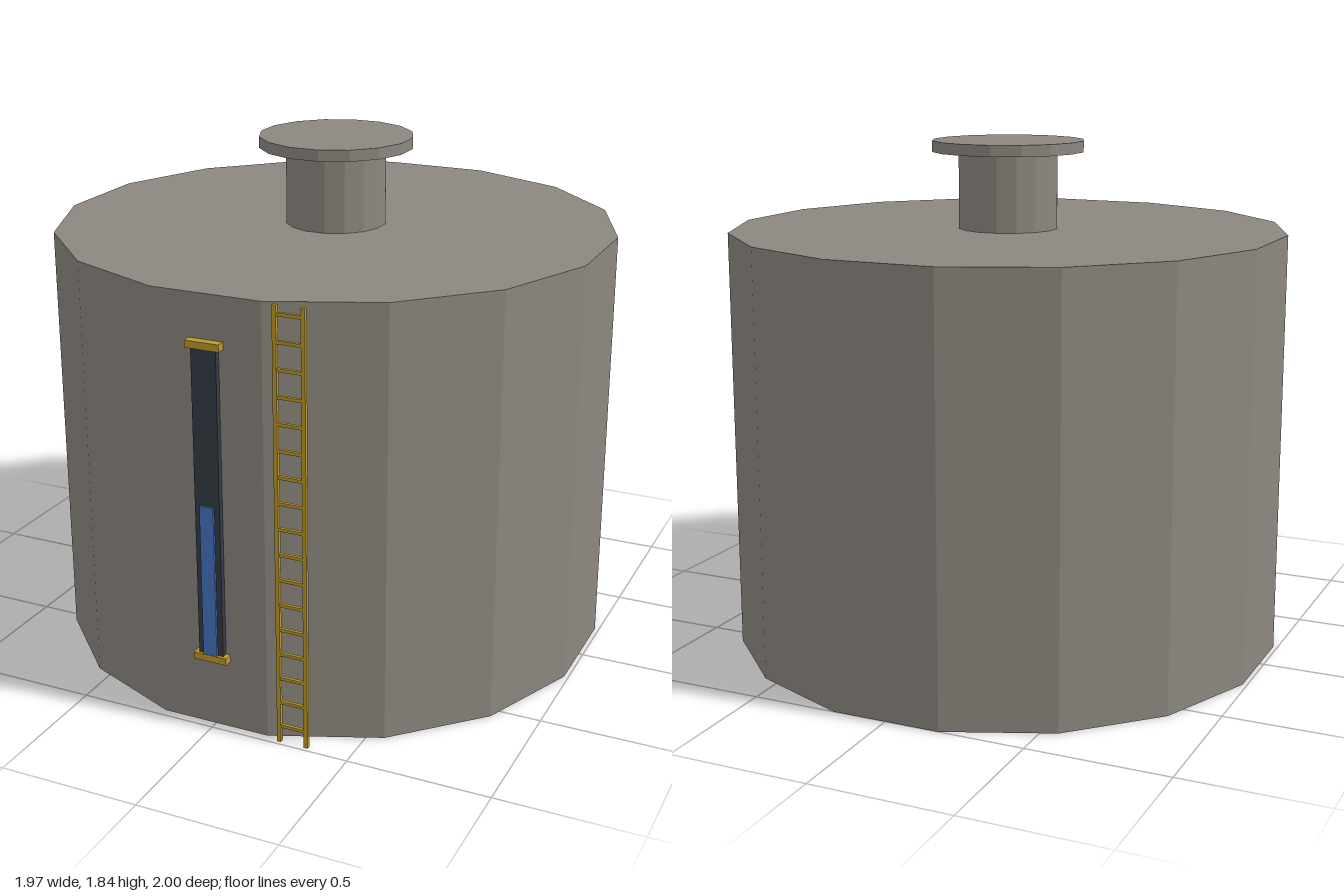
import * as THREE from 'three';

const mat = (name, color, extra = {}) => {
  const m = new THREE.MeshStandardMaterial({ color, flatShading: true, ...extra });
  m.name = name;
  return m;
};

export function createModel() {
  const grey = mat('tank grey', 0x8c8880, { side: THREE.DoubleSide });
  const gold = mat('brass yellow', 0xbf9a2a);
  const dark = mat('dark glass', 0x343d48);
  const blue = mat('liquid blue', 0x4875c4);

  const model = new THREE.Group();
  model.name = 'storageTank';
  const SIDES = 16, CZ = -0.015, H = 1.525, FRONT = 0.97;

  const add = (parent, name, geo, material, x, y, z) => {
    const mesh = new THREE.Mesh(geo, material);
    mesh.name = name;
    mesh.position.set(x, y, z);
    parent.add(mesh);
    return mesh;
  };

  // Prism with a flat facet toward the front
  const drum = (name, r, y0, y1, open = false) => {
    const geo = new THREE.CylinderGeometry(r, r, y1 - y0, SIDES, 1, open);
    geo.rotateY(Math.PI / SIDES);
    return add(model, name, geo, grey, 0, (y0 + y1) / 2, CZ);
  };

  // Shell is open underneath and closed by the roof
  drum('tankWall', 1.004, 0, H, true);
  const roof = new THREE.CircleGeometry(1.004, SIDES, Math.PI / SIDES);
  roof.rotateX(-Math.PI / 2);
  add(model, 'roof', roof, grey, 0, H, CZ);
  drum('hatchNeck', 0.18, H, 1.8, true);
  drum('hatchLid', 0.275, 1.8, 1.84);

  // Level gauge, set through the front wall
  const gauge = new THREE.Group();
  gauge.name = 'levelGauge';
  model.add(gauge);
  add(gauge, 'gaugeGlass', new THREE.BoxGeometry(0.09, 1.1, 0.04), dark, 0, 0.812, FRONT);
  add(gauge, 'gaugeLiquid', new THREE.BoxGeometry(0.05, 0.55, 0.009), blue, 0, 0.537, 0.9935);
  for (const [name, y] of [['lowerBracket', 0.262], ['upperBracket', 1.362]]) {
    add(gauge, name, new THREE.BoxGeometry(0.122, 0.025, 0.06), gold, 0, y, FRONT);
  }

  // Ladder
  const ladder = new THREE.Group();
  ladder.name = 'ladder';
  model.add(ladder);
  const LX = 0.296, LZ = 0.98;
  for (const s of [-1, 1]) {
    add(ladder, 'ladderRail', new THREE.BoxGeometry(0.014, H, 0.014), gold, LX + s * 0.049, H / 2, LZ);
  }
  for (let i = 0; i < 17; i++) {
    add(ladder, 'ladderRung', new THREE.BoxGeometry(0.09, 0.011, 0.011), gold, LX, 0.06 + i * 0.0897, LZ);
  }

  return model;
}
